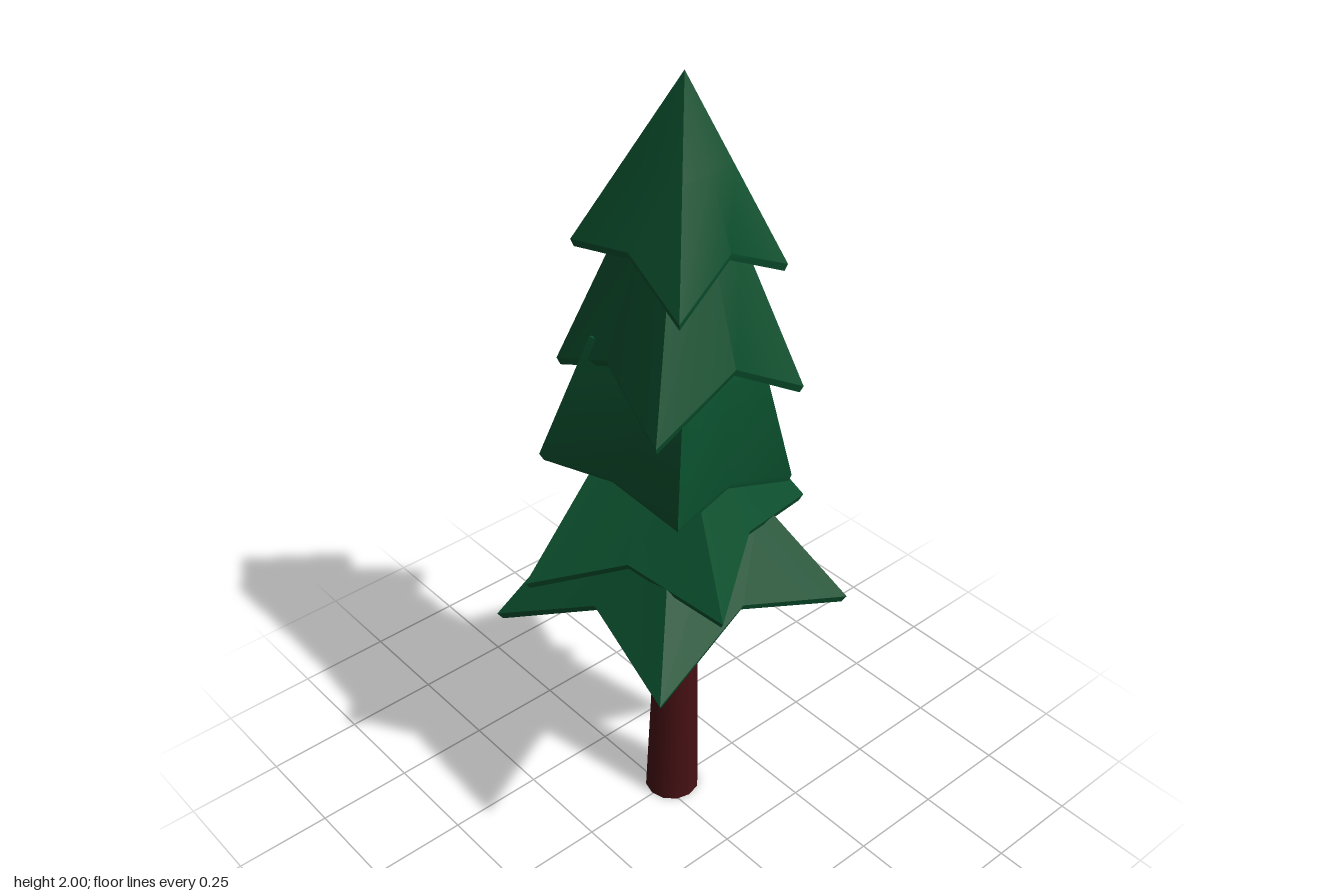
import * as THREE from 'three';
import { toCreasedNormals } from 'three/addons/utils/BufferGeometryUtils.js';

const GREEN = new THREE.MeshStandardMaterial({ color: 0x0a4f2d });
const BROWN = new THREE.MeshStandardMaterial({ color: 0x451013 });

// Each tier: rim = tip, edge middle, tip... counterclockwise from above, starting front left (+x, +z).
// apex: where the sides would meet; cut: height where they stop; cap: height of the closing point.
const TIERS = [
  { apex: [0, 2, -0.055], cut: 1.8, cap: 2, rim: [
    [0.18, 1.535, 0.115], [0.145, 1.625, -0.06], [0.15, 1.545, -0.225], [0, 1.625, -0.21],
    [-0.162, 1.545, -0.23], [-0.152, 1.63, -0.065], [-0.182, 1.59, 0.11], [0, 1.625, 0.1]] },
  { apex: [0, 1.95, -0.05], cut: 1.66, cap: 1.67, rim: [
    [0.192, 1.265, 0.19], [0.19, 1.37, -0.04], [0.217, 1.265, -0.225], [0.01, 1.37, -0.245],
    [-0.167, 1.26, -0.302], [-0.19, 1.36, -0.09], [-0.23, 1.275, 0.125], [-0.03, 1.365, 0.14]] },
  { apex: [0.04, 1.98, -0.05], cut: 1.4, cap: 1.41, rim: [
    [0.235, 1.07, 0.165], [0.19, 1.075, -0.03], [0.2, 1.015, -0.22], [-0.02, 1.08, -0.195],
    [-0.26, 1.01, -0.192], [-0.2, 1.08, 0], [-0.19, 1.07, 0.217], [0.01, 1.09, 0.17]] },
  { apex: [-0.04, 1.36, -0.045], cut: 1.13, cap: 1.14, rim: [
    [0.328, 0.825, 0.11], [0.2, 0.915, -0.09], [0.125, 0.86, -0.344], [-0.09, 0.91, -0.22],
    [-0.331, 0.85, -0.147], [-0.19, 0.89, 0.09], [-0.105, 0.8, 0.338], [0.08, 0.885, 0.18]] },
  { apex: [0, 1.2, -0.04], cut: 0.95, cap: 0.96, rim: [
    [0.3, 0.655, 0.273], [0.248, 0.755, -0.03], [0.3, 0.65, -0.334], [0, 0.755, -0.28],
    [-0.306, 0.66, -0.334], [-0.24, 0.755, -0.01], [-0.226, 0.635, 0.342], [0.016, 0.75, 0.23]] },
];

// Star-shaped skirt of branches: underside, thin rim, sloping sides, hidden cap
function tierGeometry({ apex, cut, cap, rim }) {
  const top = new THREE.Vector3(...apex);
  const upper = rim.map(([x, y, z]) => new THREE.Vector3(x, y + 0.017, z));
  const lower = rim.map(([x, y, z]) =>
    new THREE.Vector3(top.x + (x - top.x) * 0.97, y, top.z + (z - top.z) * 0.97));
  const ring = upper.map(p => p.clone().lerp(top, (cut - p.y) / (top.y - p.y)));
  const floor = new THREE.Vector3(top.x, rim[1][1] + 0.025, top.z);
  const tip = new THREE.Vector3(top.x, cap, top.z);
  const pts = [];
  const n = rim.length;
  const band = (a, b, i, j) => pts.push(a[i], a[j], b[j], a[i], b[j], b[i]);
  for (let i = 0; i < n; i++) {
    const j = (i + 1) % n;
    pts.push(floor, lower[j], lower[i]);
    band(lower, upper, i, j);
    band(upper, ring, i, j);
    pts.push(ring[i], ring[j], tip);
  }
  const geo = new THREE.BufferGeometry().setFromPoints(pts);
  return toCreasedNormals(geo, 0.65);
}

export function createModel() {
  const tree = new THREE.Group();
  tree.name = 'pineTree';

  // Tapered trunk, leaning slightly backwards
  const height = 0.86;
  const trunkGeo = new THREE.CylinderGeometry(0.044, 0.071, height, 12);
  trunkGeo.translate(0, height / 2, 0);
  const pos = trunkGeo.attributes.position;
  for (let i = 0; i < pos.count; i++) pos.setZ(i, pos.getZ(i) - 0.032 - 0.02 * pos.getY(i) / height);
  const trunk = new THREE.Mesh(trunkGeo, BROWN);
  trunk.name = 'trunk';
  trunk.position.x = -0.004;
  tree.add(trunk);

  // Branch tiers, top to bottom
  TIERS.forEach((tier, i) => {
    const mesh = new THREE.Mesh(tierGeometry(tier), GREEN);
    mesh.name = 'branchTier' + (i + 1);
    tree.add(mesh);
  });
  return tree;
}
